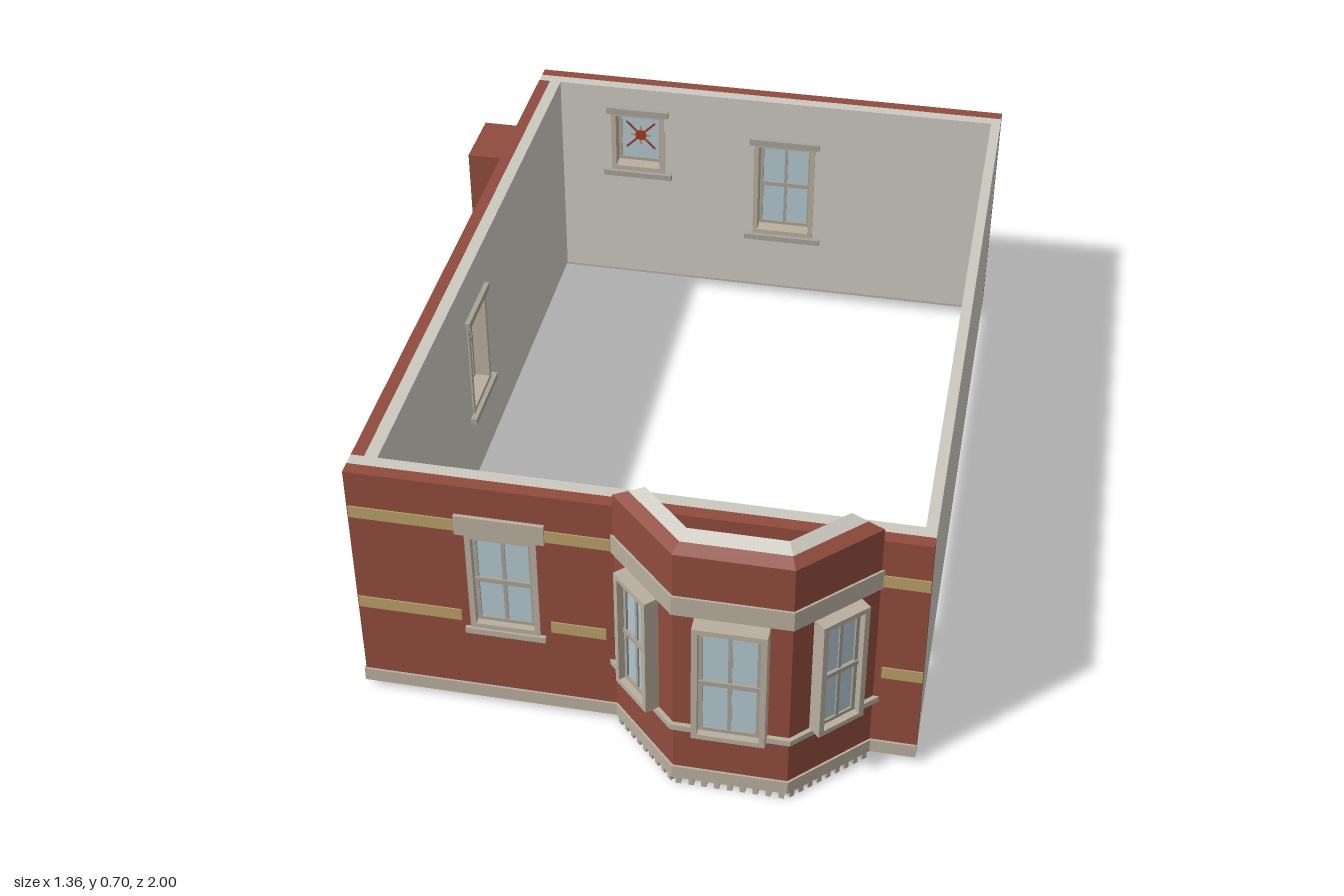
import * as THREE from 'three';

const material = (name, color, side = THREE.FrontSide) => {
  const m = new THREE.MeshStandardMaterial({ color, side });
  m.name = name;
  return m;
};

export function createModel() {
  const brick = material('brick', 0x8f4b3d);
  const plaster = material('plaster', 0xcbc8c0);
  const stone = material('stone', 0xb8ae9e);
  const sash = material('sash', 0xa8a398);
  const tan = material('tan band', 0xb99f68);
  const glass = material('glass', 0xb0c6ce);
  const red = material('red glass', 0xa03a28);
  const gold = material('gold glass', 0xc49a3c);

  const model = new THREE.Group();
  model.name = 'house storey';

  const group = (parent, name, x = 0, z = 0, turn = 0) => {
    const g = new THREE.Group();
    g.name = name;
    g.position.set(x, 0, z);
    g.rotation.y = turn;
    parent.add(g);
    return g;
  };
  const add = (parent, name, geometry, mat) => {
    const m = new THREE.Mesh(geometry, mat);
    m.name = name;
    parent.add(m);
    return m;
  };
  // Box given by its limits
  const box = (parent, name, mat, x0, x1, y0, y1, z0, z1) => {
    const m = add(parent, name, new THREE.BoxGeometry(x1 - x0, y1 - y0, z1 - z0), mat);
    m.position.set((x0 + x1) / 2, (y0 + y1) / 2, (z0 + z1) / 2);
    return m;
  };
  // Upright panel with rectangular holes and an optional doorway cut from its foot
  const panel = (parent, name, mat, [x0, x1, y0, y1], holes, z0, z1, door) => {
    const pts = [[x0, y0]];
    if (door) pts.push([door[0], y0], [door[0], door[2]], [door[1], door[2]], [door[1], y0]);
    pts.push([x1, y0], [x1, y1], [x0, y1]);
    const shape = new THREE.Shape(pts.map(p => new THREE.Vector2(...p)));
    for (const [a, b, c, d] of holes) {
      shape.holes.push(new THREE.Path(
        [[a, c], [a, d], [b, d], [b, c]].map(p => new THREE.Vector2(...p))));
    }
    const geo = new THREE.ExtrudeGeometry(shape, { depth: z1 - z0, bevelEnabled: false });
    geo.translate(0, 0, z0);
    return add(parent, name, geo, mat);
  };

  // Sash window: casing, two sashes, glass and a middle bar
  const sashWindow = (parent, [x0, x1, y0, y1], z0, z1, plain = false) => {
    const w = group(parent, 'window');
    const c = 0.013, s = 0.009, ym = y0 + (y1 - y0) * 0.49, xm = (x0 + x1) / 2;
    const inner = [x0 + c, x1 - c, y0 + c, y1 - c];
    panel(w, 'casing', stone, [x0, x1, y0, y1], [inner], z0, z1);
    const zs = z1 - 0.016;
    const opening = [inner[0] + s, inner[1] - s, inner[2] + s, inner[3] - s];
    panel(w, 'sash frame', sash, inner, [opening], zs - 0.014, zs);
    box(w, 'glass', glass, inner[0], inner[1], inner[2], inner[3], zs - 0.009, zs - 0.005);
    if (!plain) {
      box(w, 'meeting rail', sash, inner[0], inner[1], ym - 0.006, ym + 0.006, zs - 0.015, zs + 0.003);
      box(w, 'middle bar', sash, xm - 0.004, xm + 0.004, inner[2], inner[3], zs - 0.013, zs - 0.001);
    }
    return w;
  };
  // Window set in a wall, with lintel and sills
  const wallWindow = (parent, [x0, x1, y0, y1], plain) => {
    const w = sashWindow(parent, [x0, x1, y0, y1], -0.064, 0.004, plain);
    box(w, 'lintel', stone, x0 - 0.02, x1 + 0.02, y1, y1 + 0.052, -0.02, 0.009);
    box(w, 'sill', stone, x0 - 0.012, x1 + 0.012, y0 - 0.016, y0, -0.02, 0.009);
    box(w, 'inner head', sash, x0 - 0.012, x1 + 0.012, y1 - 0.004, y1 + 0.014, -0.072, -0.06);
    box(w, 'inner sill', sash, x0 - 0.022, x1 + 0.022, y0 - 0.016, y0, -0.075, -0.06);
    return w;
  };
  // Wall in its own frame: local z = 0 is the outer face
  const wall = (g, bricks, plasters, windows, bands, door) => {
    panel(g, 'brick skin', brick, [...bricks, 0.05, 0.64], windows, -0.03, 0, door);
    panel(g, 'plaster lining', plaster, [...plasters, 0.04, 0.64], windows, -0.06, -0.03, door);
    for (const [y, runs] of bands)
      for (const [a, b] of runs) box(g, 'band', tan, a, b, y, y + 0.031, -0.002, 0.003);
  };

  // Front wall
  const front = group(model, 'front wall', 0, 0.8);
  const frontWin = [-0.335, -0.175, 0.235, 0.51];
  wall(front, [-0.597, 0.675], [-0.597, 0.675], [frontWin],
    [[0.515, [[-0.594, -0.355], [-0.155, -0.004], [0.575, 0.675]]],
      [0.25, [[-0.594, -0.355], [-0.15, -0.025], [0.585, 0.675]]]],
    [0.04, 0.525, 0.57]);
  wallWindow(front, frontWin);
  box(front, 'plinth', stone, -0.6, 0.04, 0.02, 0.055, -0.04, 0.005);
  box(front, 'plinth', stone, 0.525, 0.675, 0.02, 0.055, -0.04, 0.005);

  // Back wall (local x runs towards -x)
  const back = group(model, 'back wall', 0, -0.99, Math.PI);
  const tall = [-0.18, -0.01, 0.215, 0.51], small = [0.245, 0.395, 0.38, 0.565];
  wall(back, [-0.675, 0.597], [-0.675, 0.597], [tall, small],
    [[0.515, [[-0.675, -0.2], [0.01, 0.235], [0.405, 0.594]]],
      [0.25, [[-0.675, -0.195], [0.005, 0.22], [0.41, 0.594]]]]);
  wallWindow(back, tall);
  const art = wallWindow(back, small, true);
  box(back, 'plinth', stone, -0.675, 0.6, 0.02, 0.055, -0.04, 0.007);
  // Coloured star in the small window
  for (let i = 0; i < 4; i++) {
    const ray = box(art, 'star ray', i % 2 ? red : gold, -0.058, 0.058, -0.003, 0.003, -0.003, 0.003);
    ray.scale.x = i % 2 ? 1 : 0.5;
    ray.position.set(0.32, 0.4725, -0.0185);
    ray.rotation.z = i * Math.PI / 4;
  }
  const hub = add(art, 'star hub', new THREE.CylinderGeometry(0.016, 0.016, 0.008, 16), red);
  hub.rotation.x = Math.PI / 2;
  hub.position.set(0.32, 0.4725, -0.0185);

  // Left wall (local x runs along z)
  const side = group(model, 'chimney side wall', -0.597, 0, -Math.PI / 2);
  const sideWin = [-0.1, 0.06, 0.235, 0.51];
  const sideRuns = [[-0.93, -0.677], [-0.507, -0.12], [0.08, 0.74]];
  wall(side, [-0.93, 0.74], [-0.93, 0.74], [sideWin], [[0.515, sideRuns], [0.25, sideRuns]]);
  wallWindow(side, sideWin);
  box(side, 'plinth', stone, -0.99, 0.8, 0.02, 0.055, -0.04, 0.004);
  box(side, 'chimney breast', brick, -0.677, -0.507, 0.045, 0.64, -0.01, 0.085);

  // Plain party wall
  box(model, 'party wall', plaster, 0.65, 0.675, 0.04, 0.64, -0.945, 0.755);

  // Bay: a closed profile of [outward offset, height] swept round three sides
  const cx = 0.283;
  const bay = group(model, 'bay', cx, 0.8);
  const plan = d => [[-0.287 - 1.414 * d, 0], [-0.127 - 0.414 * d, 0.16 + d],
    [0.127 + 0.414 * d, 0.16 + d], [0.287 + 1.414 * d, 0]];
  const sweep = (name, mat, profile) => {
    const v = [], n = profile.length;
    const p = (i, j) => {
      const [d, y] = profile[j % n], [x, z] = plan(d)[i];
      return [x, y, z];
    };
    const tri = (a, b, c) => v.push(...a, ...b, ...c);
    for (let j = 0; j < n; j++)
      for (let i = 0; i < 3; i++) {
        tri(p(i, j), p(i + 1, j), p(i + 1, j + 1));
        tri(p(i, j), p(i + 1, j + 1), p(i, j + 1));
      }
    for (let j = 1; j < n - 1; j++) {
      tri(p(0, 0), p(0, j), p(0, j + 1));
      tri(p(3, 0), p(3, j + 1), p(3, j));
    }
    const geo = new THREE.BufferGeometry();
    geo.setAttribute('position', new THREE.Float32BufferAttribute(v, 3));
    geo.computeVertexNormals();
    return add(bay, name, geo, mat);
  };
  const ring = (name, mat, d0, d1, y0, y1) =>
    sweep(name, mat, [[d0, y0], [d1, y0], [d1, y1], [d0, y1]]);
  ring('bay plinth', stone, -0.045, 0.005, 0.02, 0.055);
  ring('bay base', brick, -0.025, 0, 0.055, 0.175);
  ring('bay sill', stone, -0.056, 0.01, 0.175, 0.19);
  ring('bay piers', brick, -0.025, 0, 0.19, 0.51);
  ring('bay lintel', stone, -0.025, 0.005, 0.51, 0.56);
  sweep('bay parapet', brick, [[-0.025, 0.56], [0, 0.56], [0, 0.672], [-0.025, 0.688]]);
  sweep('bay lining', plaster, [[-0.05, 0.04], [-0.025, 0.04], [-0.025, 0.688], [-0.05, 0.705]]);

  // Bay windows and the row of small blocks under each side
  const corners = plan(0);
  for (let i = 0; i < 3; i++) {
    const [ax, az] = corners[i], [bx, bz] = corners[i + 1];
    const face = group(bay, 'bay side', (ax + bx) / 2, (az + bz) / 2, -Math.atan2(bz - az, bx - ax));
    const half = i === 1 ? 0.08 : 0.06;
    sashWindow(face, [-half, half, 0.19, 0.51], -0.01, i === 1 ? 0.04 : 0.035);
    const run = i === 1 ? 0.115 : 0.1;
    for (let k = 0; k < 9; k++) {
      const x = -run + k * run / 4;
      box(face, 'foot block', stone, x - 0.006, x + 0.006, 0, 0.02, -0.035, 0.002);
    }
  }
  return model;
}
